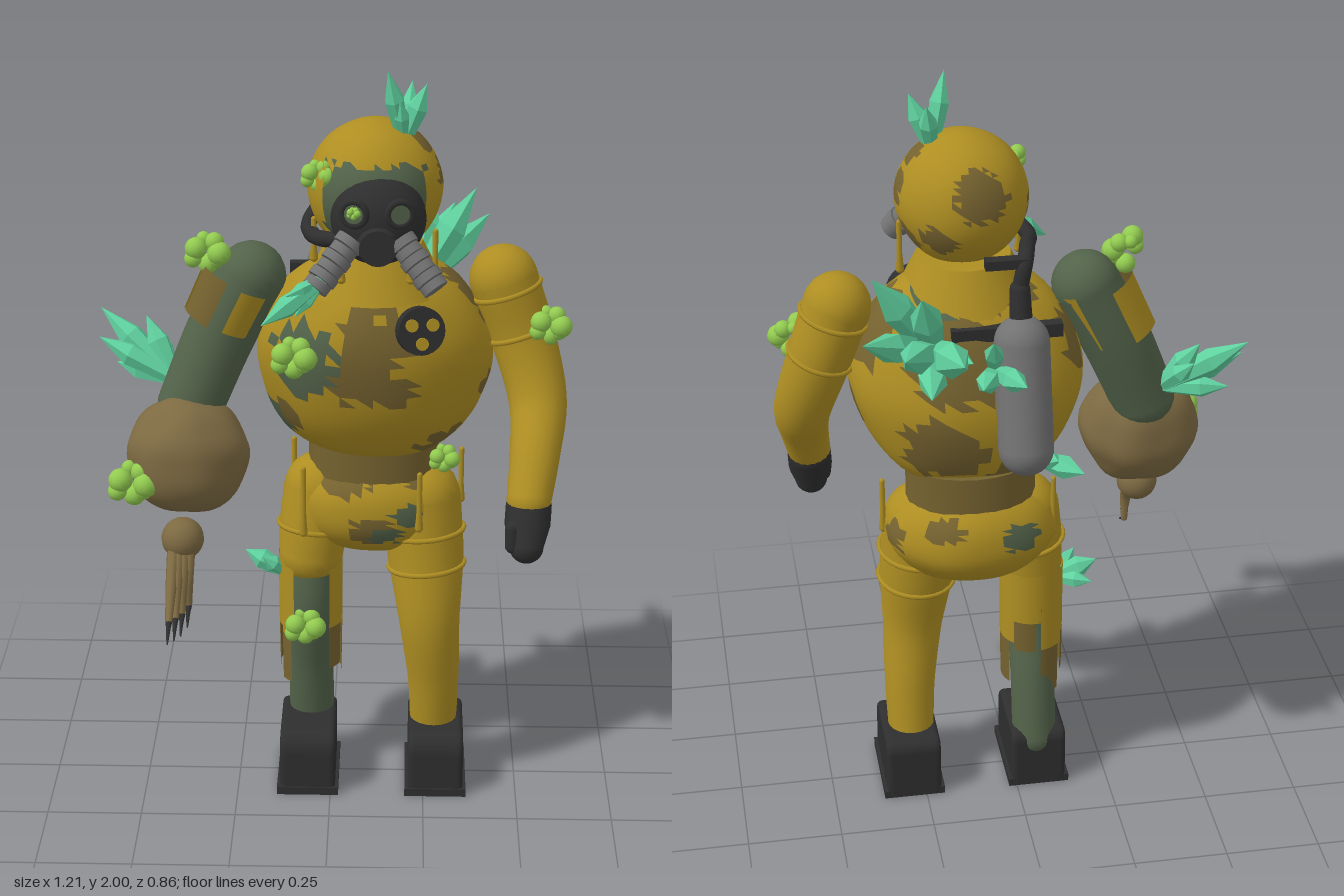
import * as THREE from 'three';

const mat = (name, color, side = THREE.FrontSide) => {
  const m = new THREE.MeshStandardMaterial({ color, side });
  m.name = name;
  return m;
};
const V = (a) => new THREE.Vector3(...a);
const UP = new THREE.Vector3(0, 1, 0);

export function createModel() {
  const root = new THREE.Group();
  const yellow = mat('mustard suit', 0xae8e22, THREE.DoubleSide);
  const brown = mat('stained suit', 0x75622f, THREE.DoubleSide);
  const green = mat('sick green skin', 0x53634a);
  const flesh = mat('swollen brown flesh', 0x7d6a42);
  const black = mat('black rubber', 0x2e2e2e);
  const grey = mat('grey metal', 0x727272);
  const teal = mat('teal crystal', 0x5fd09e);
  const lime = mat('lime pustule', 0x92cb50);

  const add = (name, geo, material, pos = [0, 0, 0], parent = root) => {
    const m = new THREE.Mesh(geo, material);
    m.name = name;
    m.position.set(...pos);
    parent.add(m);
    return m;
  };
  // turn a mesh so its y axis follows a direction
  const aim = (m, dir) => {
    m.quaternion.setFromUnitVectors(UP, dir.clone().normalize());
    return m;
  };
  const wobble = (x, y, z) =>
    (Math.sin(7 * x + 2 * y) + Math.sin(8 * y - 3 * z + 1) + Math.sin(9 * z + 4 * x + 2)) / 3;
  const fine = (x, y, z) => Math.sin(23 * x + 5 * z) * Math.sin(19 * y + 7 * x + 1);

  // lumpy ellipsoid whose faces are coloured by a rule (-1 leaves a hole)
  const lumpy = (name, pos, size, amp, mats, pick, rotX = 0) => {
    let g = new THREE.SphereGeometry(1, 44, 32);
    const p = g.attributes.position;
    const v = new THREE.Vector3();
    for (let i = 0; i < p.count; i++) {
      v.fromBufferAttribute(p, i);
      v.multiplyScalar(1 + amp * wobble(v.x, v.y, v.z)).multiply(V(size));
      p.setXYZ(i, v.x, v.y, v.z);
    }
    g.computeVertexNormals();
    const idx = g.index.array;
    const lists = mats.map(() => []);
    for (let t = 0; t < idx.length; t += 3) {
      v.set(0, 0, 0);
      for (let k = 0; k < 3; k++) v.add(new THREE.Vector3().fromBufferAttribute(p, idx[t + k]));
      v.divide(V(size)).normalize();
      const c = pick(v);
      if (c >= 0) lists[c].push(idx[t], idx[t + 1], idx[t + 2]);
    }
    g.setIndex(lists.flat());
    let start = 0;
    lists.forEach((l, i) => { g.addGroup(start, l.length, i); start += l.length; });
    add(name, g, mats, pos).rotation.x = rotX;
  };
  // blobs: [x, y, z, radius, colour index] on the unit sphere, with ragged edges
  const blobs = (list) => (d) => {
    for (const [x, y, z, r, c] of list) {
      const edge = r + 0.09 * fine(d.x, d.y, d.z);
      if (d.distanceTo(V([x, y, z]).normalize()) < edge) return c;
    }
    return 0;
  };

  // rounded limb through points [x, y, z, radius]
  const limb = (name, pts, material, sides = 20, n = 24, parent = root) => {
    const curve = new THREE.CatmullRomCurve3(pts.map((q) => V(q)));
    const g = new THREE.TubeGeometry(curve, n, 1, sides);
    const p = g.attributes.position;
    const nor = g.attributes.normal;
    for (let i = 0; i <= n; i++) {
      const c = curve.getPointAt(i / n);
      const t = curve.getUtoTmapping(i / n) * (pts.length - 1);
      const k = Math.min(Math.floor(t), pts.length - 2);
      const r = THREE.MathUtils.lerp(pts[k][3], pts[k + 1][3], t - k);
      for (let j = 0; j <= sides; j++) {
        const a = i * (sides + 1) + j;
        p.setXYZ(a, c.x + nor.getX(a) * r, c.y + nor.getY(a) * r, c.z + nor.getZ(a) * r);
      }
    }
    add(name, g, material, [0, 0, 0], parent);
    for (const q of [pts[0], pts[pts.length - 1]])
      add(name + 'End', new THREE.SphereGeometry(q[3], sides, 12), material, q.slice(0, 3), parent);
  };
  const band = (name, pos, r, dir) => {
    const g = new THREE.TorusGeometry(r, 0.007, 6, 28).rotateX(Math.PI / 2);
    aim(add(name, g, yellow, pos), V(dir));
  };

  // head: inner face, open hood, mask
  add('face', new THREE.SphereGeometry(0.155, 32, 24), green, [0.11, 1.69, 0.08]);
  const hoodPaint = blobs([[0.9, 0.2, 0, 0.26, 1], [0.75, 0.75, 0.1, 0.2, 1], [0.85, -0.5, -0.3, 0.25, 1],
    [-0.2, 0.35, -1, 0.4, 1], [0.5, -0.4, -0.8, 0.28, 1], [-0.9, -0.2, -0.2, 0.25, 1]]);
  lumpy('hood', [0.11, 1.695, 0.08], [0.168, 0.17, 0.165], 0.01, [yellow, brown], (d) =>
    d.z > 0.45 && d.y < 0.5 + 0.08 * fine(d.x, d.y, d.z) && Math.abs(d.x) < 0.74 ? -1 : hoodPaint(d));
  add('mask', new THREE.SphereGeometry(1, 28, 20), black, [0.12, 1.645, 0.19]).scale.set(0.117, 0.115, 0.09);
  add('muzzle', new THREE.CylinderGeometry(0.045, 0.06, 0.06, 20).rotateX(Math.PI / 2), black, [0.12, 1.6, 0.265]);
  for (const s of [-1, 1]) {
    const x = 0.117 + s * 0.055;
    add('lensRim', new THREE.TorusGeometry(0.03, 0.009, 8, 24), black, [x, 1.68, 0.268]).rotation.y = s * 0.25;
    add('lens', new THREE.CylinderGeometry(0.028, 0.028, 0.009, 24).rotateX(Math.PI / 2), green,
      [x, 1.68, 0.27]).rotation.y = s * 0.25;
    // ribbed filter
    const a = V([0.115 + s * 0.065, 1.605, 0.265]);
    const b = V([0.115 + s * 0.14, 1.515, 0.315]);
    const dir = b.clone().sub(a);
    for (let i = 0; i < 6; i++)
      aim(add('filterRib', new THREE.CylinderGeometry(0.037 - 0.004 * (i % 2), 0.037 - 0.004 * (i % 2), 0.022, 18),
        grey, a.clone().lerp(b, i / 5).toArray()), dir);
  }
  add('collar', new THREE.CylinderGeometry(0.12, 0.18, 0.12, 24), yellow, [0.11, 1.49, 0.06]);

  // body
  lumpy('torso', [0.11, 1.235, 0.025], [0.3, 0.3, 0.215], 0.025, [yellow, brown, green], blobs([
    [-0.6, 0.25, 0.75, 0.33, 2], [-0.85, -0.55, 0.3, 0.22, 2], [0.3, 0.75, -0.6, 0.25, 2], [-0.1, 0.2, 1, 0.27, 1],
    [-0.02, 0.5, 0.85, 0.27, 1], [0.2, 0.05, 1, 0.16, 1], [0.55, -0.65, 0.5, 0.24, 1], [0, 0.8, 0.55, 0.25, 1],
    [0.8, 0.5, -0.25, 0.4, 1], [0.2, 0.25, -1, 0.42, 1], [0.3, -0.6, -0.75, 0.36, 1], [-0.4, -0.8, -0.4, 0.3, 1],
    [0.95, -0.2, 0.1, 0.24, 1], [-0.3, 0.75, -0.5, 0.25, 1], [-0.75, -0.4, 0.6, 0.16, 1], [-0.9, 0.3, -0.4, 0.22, 1]]), 0.24);
  lumpy('pelvis', [0.11, 0.81, -0.035], [0.225, 0.145, 0.165], 0.02, [yellow, brown, green], blobs([
    [0.15, -0.35, 0.9, 0.2, 2], [0.45, 0, 0.9, 0.2, 2], [-0.3, 0.6, 0.7, 0.3, 1], [0.5, 0.7, 0.5, 0.3, 1],
    [0, -0.3, 1, 0.28, 1], [0.4, 0.4, -0.8, 0.25, 1], [-0.5, 0.2, -0.85, 0.25, 2], [0.9, 0.1, -0.3, 0.25, 1]]));
  add('waist', new THREE.CylinderGeometry(0.17, 0.17, 0.14, 24), brown, [0.11, 0.94, -0.03]).scale.z = 0.75;

  // radiation badge
  const badge = new THREE.Group();
  badge.name = 'badge';
  badge.position.set(0.225, 1.375, 0.245);
  badge.rotation.set(-0.2, 0.3, 0);
  root.add(badge);
  add('badgeDisc', new THREE.CylinderGeometry(0.06, 0.06, 0.03, 24).rotateX(Math.PI / 2), black, [0, 0, 0], badge);
  for (let i = 0; i < 3; i++) {
    const a = Math.PI / 2 + i * Math.PI * 2 / 3 + Math.PI / 3;
    add('badgeSpot', new THREE.CylinderGeometry(0.016, 0.016, 0.008, 14).rotateX(Math.PI / 2), yellow,
      [Math.cos(a) * 0.031, Math.sin(a) * 0.031, 0.017], badge);
  }

  // left arm
  limb('leftArm', [[0.435, 1.44, 0.03, 0.087], [0.49, 1.28, 0.035, 0.082], [0.528, 1.13, 0.085, 0.074],
    [0.52, 1.02, 0.17, 0.064], [0.505, 0.92, 0.235, 0.057]], yellow);
  limb('leftHand', [[0.505, 0.905, 0.235, 0.058], [0.502, 0.86, 0.255, 0.058], [0.5, 0.81, 0.275, 0.044]], black);
  add('leftThumb', new THREE.CapsuleGeometry(0.02, 0.05, 4, 10), black, [0.465, 0.84, 0.285]);
  band('sleeveBand', [0.445, 1.41, 0.03], 0.087, [0.05, -0.16, 0.01]);
  band('sleeveBand', [0.482, 1.3, 0.035], 0.084, [0.055, -0.16, 0.02]);

  // right arm with swollen forearm and claws
  limb('rightUpperArm', [[-0.2, 1.445, 0.04, 0.088], [-0.28, 1.29, 0.04, 0.09], [-0.36, 1.1, 0.06, 0.085]], green);
  lumpy('rightForearm', [-0.365, 0.985, 0.115], [0.157, 0.157, 0.135], 0.045, [flesh], () => 0);
  add('rightWrist', new THREE.SphereGeometry(0.055, 20, 14), flesh, [-0.378, 0.775, 0.175]);
  [[0.43, 0.6], [0.39, 0.59], [0.345, 0.58], [0.295, 0.58]].forEach(([z, y], i) => {
    const x = -0.4 + i * 0.013;
    const mid = [x, y + 0.035, z - 0.055, 0.009];
    limb('claw', [[x, 0.76, 0.19, 0.017], [x, 0.69, 0.19 + (z - 0.19) * 0.45, 0.014], mid], flesh, 8, 10);
    limb('clawTip', [mid, [x, y, z, 0.002]], black, 8, 4);
  });
  // torn sleeve scraps
  for (const [start, len, h, y] of [[3.4, 0.9, 0.16, -0.05], [5.1, 0.9, 0.13, -0.06], [1.6, 0.9, 0.17, -0.07], [0.1, 0.7, 0.12, -0.06]]) {
    const g = new THREE.CylinderGeometry(0.105, 0.1, h, 6, 1, true, start, len);
    g.translate(0, -y, 0);
    aim(add('tornSleeve', g, start > 5 ? brown : yellow, [-0.28, 1.33, 0.04]), V([0.14, 0.3, 0]));
  }

  // legs
  limb('leftLeg', [[0.235, 0.82, -0.01, 0.105], [0.25, 0.66, 0.01, 0.101], [0.262, 0.48, 0.035, 0.08],
    [0.275, 0.3, 0.015, 0.068], [0.277, 0.15, -0.005, 0.062]], yellow);
  limb('rightThigh', [[-0.03, 0.84, -0.02, 0.095], [-0.045, 0.74, -0.005, 0.092], [-0.054, 0.66, 0, 0.084]], yellow);
  limb('rightShin', [[-0.05, 0.66, 0, 0.068], [-0.055, 0.5, 0.005, 0.064], [-0.055, 0.32, -0.035, 0.06],
    [-0.055, 0.14, -0.065, 0.06]], green);
  band('legBand', [0.245, 0.73, 0], 0.105, [0.08, -1, 0.1]);
  band('legBand', [0.252, 0.635, 0.014], 0.1, [0.08, -1, 0.1]);
  band('legBand', [-0.045, 0.74, -0.005], 0.094, [-0.08, -1, 0.1]);
  // torn trouser strips, open at the front: [start angle, arc, bottom height]
  for (const [a, len, bottom] of [[0.65, 0.75, 0.34], [1.4, 1.0, 0.31], [2.4, 0.9, 0.42], [3.3, 0.9, 0.28], [4.2, 1.0, 0.33], [5.2, 0.55, 0.3]]) {
    const h = 0.66 - bottom;
    const top = new THREE.CylinderGeometry(0.085, 0.084, h * 0.62, 5, 1, true, a, len);
    const low = new THREE.CylinderGeometry(0.084, 0.082, h * 0.38, 5, 1, true, a, len * 0.8);
    add('tornTrouser', top, yellow, [-0.055, 0.66 - h * 0.31, -0.008]);
    add('tornTrouserHem', low, brown, [-0.055, 0.66 - h * 0.81, -0.008]);
  }

  // boots
  for (const x of [-0.061, 0.283]) {
    const s = new THREE.Shape();
    s.moveTo(-0.105, 0.015).lineTo(0.125, 0.015).lineTo(0.125, 0.12).quadraticCurveTo(0.122, 0.162, 0.08, 0.162)
      .lineTo(-0.085, 0.162).quadraticCurveTo(-0.105, 0.162, -0.105, 0.14);
    const g = new THREE.ExtrudeGeometry(s, { depth: 0.12, bevelSize: 0.012, bevelThickness: 0.014, bevelSegments: 3 });
    add('boot', g.translate(0, 0, -0.06).rotateY(-Math.PI / 2), black, [x, 0, 0]);
    add('sole', new THREE.BoxGeometry(0.165, 0.022, 0.256), black, [x, 0.011, 0.013]);
  }

  // air tank, hose and harness
  const tankDir = V([0, 0.36, 0.09]);
  aim(add('airTank', new THREE.CapsuleGeometry(0.07, 0.27, 8, 24), grey, [0, 1.27, -0.205]), tankDir);
  limb('valve', [[0, 1.45, -0.16, 0.03], [0, 1.53, -0.14, 0.026]], black, 12, 4);
  limb('hose', [[0, 1.53, -0.14, 0.02], [-0.015, 1.6, -0.13, 0.02], [-0.035, 1.6, -0.04, 0.02], [-0.055, 1.585, 0.06, 0.02],
    [-0.03, 1.585, 0.16, 0.02], [0.05, 1.6, 0.23, 0.02]], black, 10, 30);
  add('valveHandle', new THREE.BoxGeometry(0.11, 0.025, 0.03), black, [0.03, 1.6, -0.13]);
  add('harnessBar', new THREE.BoxGeometry(0.28, 0.035, 0.03), black, [0.03, 1.41, -0.125]);

  // crystal clusters: base, then tips [x, y, z, radius]
  const crystals = (name, base, tips) => {
    for (const t of tips) {
      const dir = V(t).sub(V(base));
      const L = dir.length();
      const r = t[3];
      let g = new THREE.LatheGeometry([[0, 0], [r * 0.6, 0], [r, L * 0.6], [0, L]].map((q) => new THREE.Vector2(...q)), 6);
      g = g.toNonIndexed();
      g.computeVertexNormals();
      aim(add(name, g, teal, base), dir);
    }
  };
  crystals('headCrystal', [0.18, 1.81, 0.1], [[0.14, 2, 0.15, 0.026], [0.235, 1.96, 0.11, 0.027], [0.2, 1.95, 0.04, 0.025], [0.17, 1.93, 0.15, 0.02]]);
  crystals('backCrystal', [0.21, 1.36, -0.1], [[0.18, 1.48, -0.43, 0.046], [0.32, 1.5, -0.42, 0.042], [0.41, 1.5, -0.32, 0.04],
    [0.26, 1.59, -0.28, 0.042], [0.37, 1.61, -0.19, 0.042], [0.25, 1.36, -0.36, 0.038], [0.14, 1.42, -0.3, 0.03]]);
  crystals('tankCrystal', [0.07, 1.33, -0.17], [[0.02, 1.38, -0.37, 0.03], [0.12, 1.36, -0.33, 0.03], [0.09, 1.47, -0.3, 0.025]]);
  crystals('lowTankCrystal', [-0.05, 1.05, -0.14], [[-0.14, 1.08, -0.29, 0.03], [-0.08, 1.1, -0.25, 0.025]]);
  crystals('elbowCrystal', [-0.4, 1.15, 0.01], [[-0.6, 1.31, -0.09, 0.034], [-0.6, 1.25, -0.03, 0.032], [-0.56, 1.17, -0.06, 0.03],
    [-0.48, 1.3, -0.06, 0.03], [-0.46, 1.26, -0.09, 0.026]]);
  crystals('thighCrystal', [-0.12, 0.6, 0], [[-0.23, 0.655, -0.02, 0.028], [-0.21, 0.61, -0.06, 0.024], [-0.18, 0.66, 0.04, 0.022]]);
  crystals('filterCrystal', [-0.01, 1.53, 0.31], [[-0.16, 1.43, 0.375, 0.028], [-0.1, 1.5, 0.36, 0.018], [-0.08, 1.44, 0.34, 0.018]]);

  // pustule clusters: [x, y, z, size]
  for (const [x, y, z, s] of [[-0.31, 1.515, 0.08, 1], [-0.09, 1.29, 0.225, 1], [-0.5, 0.94, 0.21, 1.1], [0.55, 1.335, 0.095, 0.95],
    [0.29, 0.985, 0.13, 0.7], [-0.07, 0.475, 0.08, 0.95], [-0.03, 1.74, 0.16, 0.75], [0.06, 1.685, 0.285, 0.3]])
    for (let i = 0; i < 7; i++) {
      const a = i * 2.4;
      add('pustule', new THREE.SphereGeometry((0.03 - 0.002 * i) * s, 12, 9), lime,
        [x + Math.cos(a) * 0.032 * s, y + Math.sin(a) * 0.032 * s, z + Math.sin(i * 1.9) * 0.028 * s]);
    }

  // slime drips: [x, top, z, length]
  for (const [x, y, z, h] of [[0.34, 0.95, -0.02, 0.14], [-0.07, 0.94, 0.1, 0.18], [0.23, 0.94, 0.13, 0.15], [-0.1, 0.95, -0.08, 0.15],
    [0.03, 1.57, 0.2, 0.08], [0.26, 1.6, 0.15, 0.13], [-0.04, 1.62, 0.12, 0.1], [0.2, 1.57, 0.2, 0.08]])
    limb('drip', [[x, y, z, 0.007], [x, y - h * 0.7, z, 0.007], [x, y - h, z, 0.011]], yellow, 8, 6);

  return root;
}
